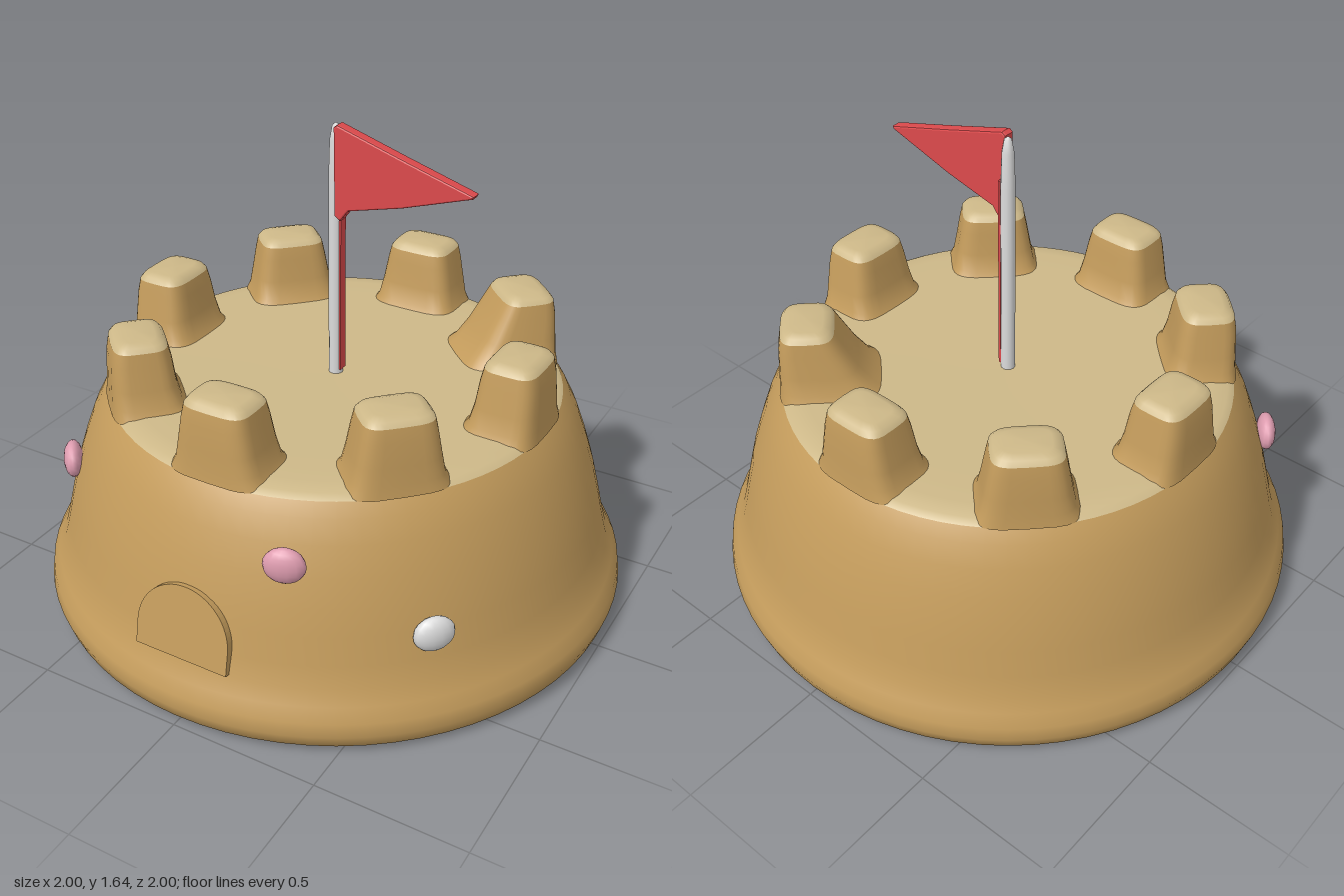
import * as THREE from 'three';

const mat = (name, color) => Object.assign(new THREE.MeshStandardMaterial({ color }), { name });
const V2 = (list) => list.map(([x, y]) => new THREE.Vector2(x, y));

// Closed skin over rounded-rectangle rings: [y, half width, inner z, outer z]
function loft(rings, n = 28) {
  const pos = [], idx = [];
  const soft = (v) => Math.sign(v) * Math.pow(Math.abs(v), 0.5);
  rings.forEach(([y, w, zin, zout], i) => {
    for (let j = 0; j < n; j++) {
      const a = (j / n) * Math.PI * 2;
      pos.push(w * soft(Math.sin(a)), y, (zin + zout) / 2 + ((zout - zin) / 2) * soft(Math.cos(a)));
      if (i === rings.length - 1) continue;
      const p = i * n + j, q = i * n + ((j + 1) % n);
      idx.push(p, q, p + n, q, q + n, p + n);
    }
  });
  const g = new THREE.BufferGeometry();
  g.setAttribute('position', new THREE.Float32BufferAttribute(pos, 3));
  g.setIndex(idx);
  g.computeVertexNormals();
  return g;
}

export function createModel() {
  const root = new THREE.Group();
  root.name = 'sandCastle';
  const sand = mat('sand', 0xc49c5c);
  const paleSand = mat('paleSand', 0xcdb888);
  const red = mat('flagRed', 0xdc4a4c);
  const white = mat('white', 0xdcdcdc);
  const pink = mat('shellPink', 0xdf9db0);

  const add = (name, geo, material, parent = root) => {
    const m = new THREE.Mesh(geo, material);
    m.name = name;
    parent.add(m);
    return m;
  };

  // Mound with a bulging foot
  add('castleWall', new THREE.LatheGeometry(V2([
    [0, 0], [0.94, 0], [0.955, 0.004], [0.985, 0.025], [1, 0.07], [0.993, 0.115], [0.97, 0.16],
    [0.945, 0.21], [0.926, 0.28], [0.905, 0.37], [0.882, 0.46], [0.853, 0.55], [0.82, 0.64],
    [0.785, 0.71], [0.757, 0.75],
  ]), 72), sand);

  // Courtyard floor
  add('courtyard', new THREE.LatheGeometry(V2([
    [0.757, 0.75], [0.735, 0.765], [0.68, 0.772], [0.55, 0.772], [0.3, 0.767], [0, 0.765],
  ]), 72), paleSand);

  // Eight battlements with pale tops
  for (let i = 0; i < 8; i++) {
    const battlement = new THREE.Group();
    battlement.name = 'battlement' + (i + 1);
    battlement.rotation.y = (i * Math.PI) / 4;
    root.add(battlement);
    const slide = i === 3 ? 0.1 : 0; // one has a slumped inner face
    add('battlementBody', loft([
      [0.75, 0.17, 0.5 - slide, 0.763], [0.79, 0.147, 0.53 - slide * 0.8, 0.758],
      [0.85, 0.135, 0.545 - slide * 0.5, 0.755], [0.93, 0.121, 0.555 - slide * 0.15, 0.75],
      [0.975, 0.112, 0.565, 0.742],
    ]), sand, battlement);
    add('battlementTop', loft([
      [0.975, 0.112, 0.565, 0.742], [0.991, 0.1, 0.577, 0.73], [0.999, 0.075, 0.6, 0.705],
      [1, 0, 0.653, 0.653],
    ]), paleSand, battlement);
  }

  // Arched door raised slightly from the wall
  const arch = new THREE.Shape();
  arch.moveTo(-0.165, 0);
  arch.lineTo(0.165, 0);
  arch.lineTo(0.165, 0.08);
  arch.absellipse(0, 0.08, 0.165, 0.165, 0, Math.PI, false);
  const doorGeo = new THREE.ExtrudeGeometry(arch, { depth: 0.09, bevelEnabled: false, curveSegments: 16 });
  doorGeo.translate(0, 0, -0.09);
  const door = add('door', doorGeo, sand);
  door.position.set(0, 0.22, 0.946);
  door.rotation.x = -0.19;

  // Shells pressed into the wall
  const shells = [
    ['leftFrontShell', 0.3, 0.6, 0.82, 0.066, pink],
    ['rightFrontShell', -0.7, 0.5, 0.555, 0.072, pink],
    ['whiteShell', 0.685, 0.36, 0.61, 0.067, white],
  ];
  for (const [name, x, y, z, w, material] of shells) {
    const shell = add(name, new THREE.SphereGeometry(1, 14, 10), material);
    shell.scale.set(w, 0.06, 0.033);
    shell.position.set(x, y, z);
    shell.rotation.y = Math.atan2(x, z);
  }

  // Flagpole with a tapered tip
  add('flagpole', new THREE.LatheGeometry(V2([
    [0.024, 0.75], [0.024, 1.45], [0.02, 1.58], [0.012, 1.625], [0, 1.635],
  ]), 12), white);

  // Cloth edge running down the pole
  const sleeve = add('flagSleeve', new THREE.BoxGeometry(0.009, 0.7, 0.032), red);
  sleeve.position.set(0.021, 1.13, -0.002);

  // Pennant
  const pennant = new THREE.Shape(V2([
    [0.012, 1.63], [0.015, 1.34], [0.035, 1.325], [0.065, 1.365], [0.25, 1.412], [0.485, 1.488],
    [0.49, 1.498], [0.25, 1.57], [0.025, 1.64],
  ]));
  const flagGeo = new THREE.ExtrudeGeometry(pennant, {
    depth: 0.026, bevelEnabled: true, bevelThickness: 0.007, bevelSize: 0.006, bevelOffset: -0.006, bevelSegments: 2,
  });
  add('flag', flagGeo, red).position.z = 0.007;

  return root;
}
